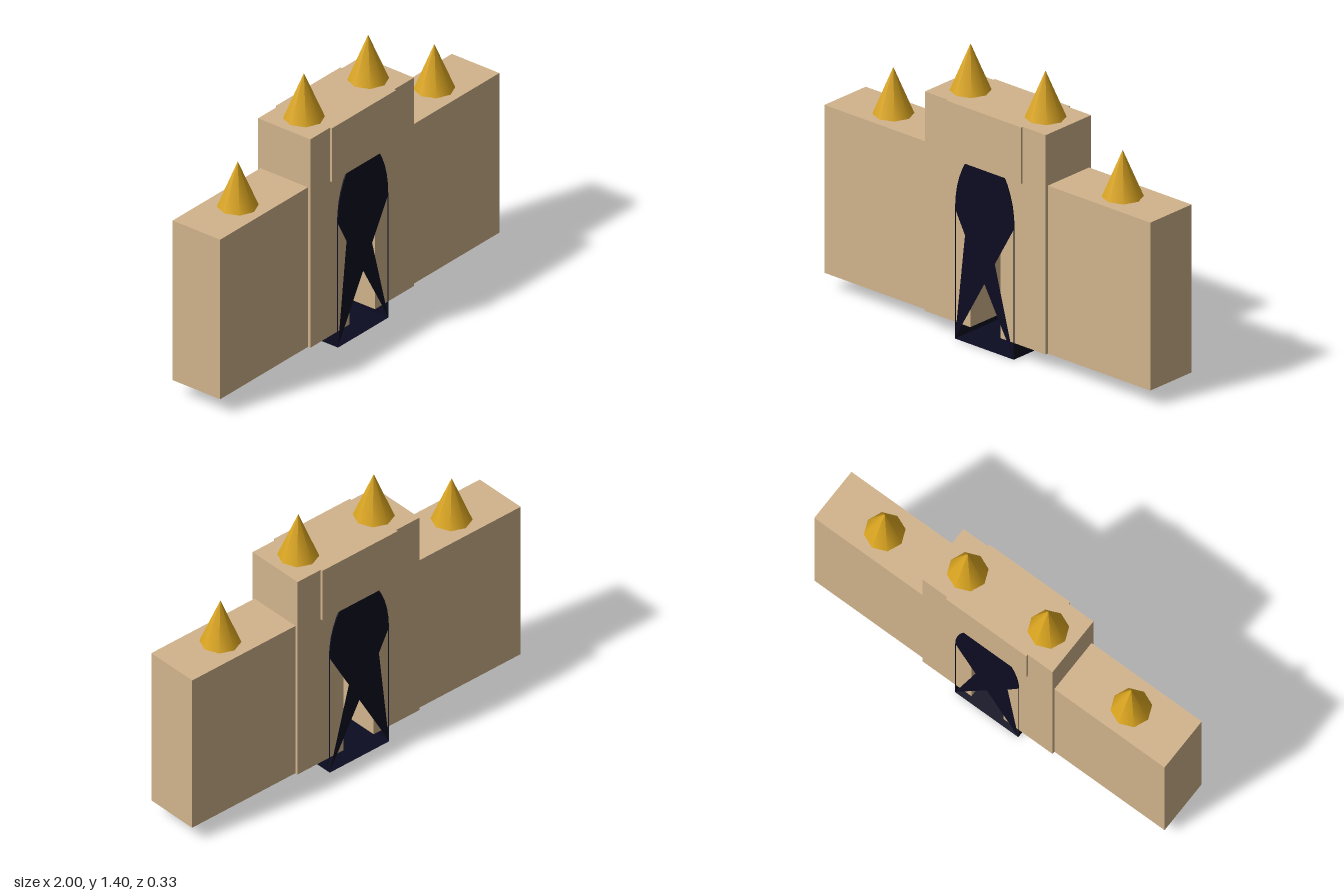
import * as THREE from 'three';

export function createModel() {
  const model = new THREE.Group();
  const mat = (name, color) => {
    const m = new THREE.MeshStandardMaterial({ color });
    m.name = name;
    return m;
  };
  const stone = mat('sandstone', 0xd2b48c);
  const gold = mat('gold', 0xdaa520);
  const dark = mat('darkDoorway', 0x0c0c22);
  dark.side = THREE.DoubleSide;

  const add = (name, geometry, material, x = 0, y = 0, z = 0) => {
    const mesh = new THREE.Mesh(geometry, material);
    mesh.name = name;
    mesh.position.set(x, y, z);
    model.add(mesh);
    return mesh;
  };
  const block = (name, x0, x1, y0, y1, depth) =>
    add(name, new THREE.BoxGeometry(x1 - x0, y1 - y0, depth), stone, (x0 + x1) / 2, (y0 + y1) / 2);

  // Side walls, towers and their spires, mirrored
  for (const [side, s] of [['left', 1], ['right', -1]]) {
    const span = (a, b) => (s > 0 ? [a, b] : [-b, -a]);
    block(side + 'Wall', ...span(0.36, 1), 0.08, 0.913, 0.28);
    block(side + 'Tower', ...span(0.092, 0.371), 0.08, 1.168, 0.308);
    add(side + 'TowerSpire', new THREE.ConeGeometry(0.096, 0.23, 8), gold, s * 0.23, 1.283);
    add(side + 'WallSpire', new THREE.ConeGeometry(0.096, 0.23, 8), gold, s * 0.704, 1.028);
  }

  // Lintel joining the towers
  block('lintel', -0.23, 0.23, 0.888, 1.168, 0.33);

  // Doorway faces: arched top, notched waist and two pointed legs
  const face = new THREE.Shape();
  face.moveTo(-0.18, 0.005);
  face.lineTo(0, 0.323);
  face.lineTo(0.18, 0.005);
  face.lineTo(0.064, 0.44);
  face.lineTo(0.18, 0.645);
  face.quadraticCurveTo(0.18, 0.88, 0, 1.02);
  face.quadraticCurveTo(-0.18, 0.88, -0.18, 0.645);
  face.lineTo(-0.119, 0.53);
  const faceGeometry = new THREE.ShapeGeometry(face, 8);
  add('doorwayFront', faceGeometry, dark, 0, 0, 0.16);
  add('doorwayBack', faceGeometry, dark, 0, 0, -0.16).scale.z = -1;

  // Doorway lining: floor, sides and arch
  const outline = new THREE.Shape();
  outline.moveTo(-0.18, 0);
  outline.lineTo(0.18, 0);
  outline.lineTo(0.18, 0.645);
  outline.quadraticCurveTo(0.18, 0.88, 0, 1.02);
  outline.quadraticCurveTo(-0.18, 0.88, -0.18, 0.645);
  outline.closePath();
  const loop = outline.getPoints(8);
  const positions = [];
  for (let i = 0; i < loop.length - 1; i++) {
    const a = loop[i], b = loop[i + 1];
    const corners = [[a, 0.16], [a, -0.16], [b, -0.16], [b, 0.16]];
    for (const k of [0, 1, 2, 0, 2, 3]) {
      const [p, z] = corners[k];
      positions.push(p.x, p.y, z);
    }
  }
  const lining = new THREE.BufferGeometry();
  lining.setAttribute('position', new THREE.Float32BufferAttribute(positions, 3));
  lining.computeVertexNormals();
  add('doorwayLining', lining, dark);

  return model;
}
